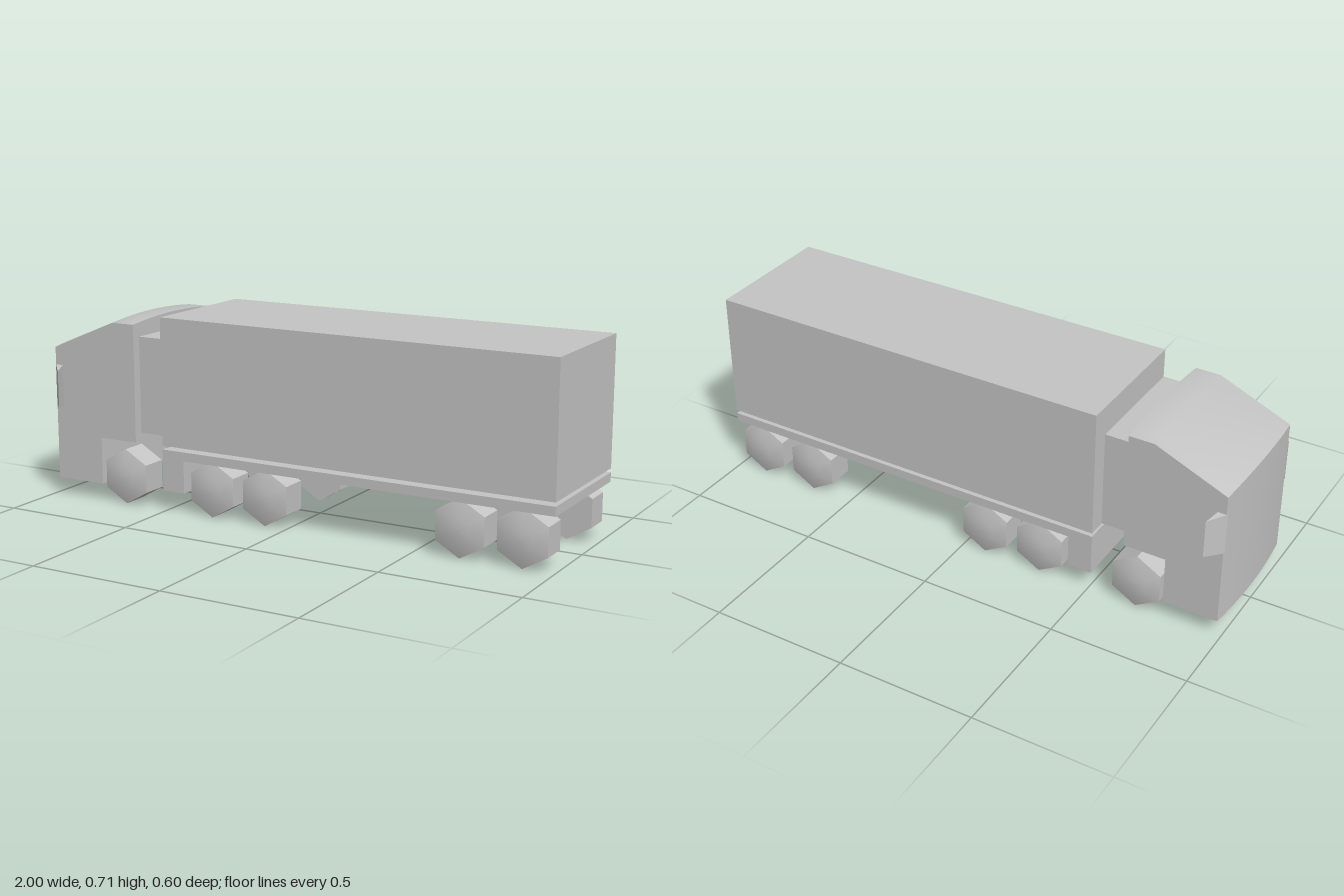
import * as THREE from 'three';
import { toCreasedNormals } from 'three/addons/utils/BufferGeometryUtils.js';

const grey = new THREE.MeshStandardMaterial({ color: 0xc4c4c4 });
grey.name = 'light grey';

function addMesh(parent, name, geometry) {
  const mesh = new THREE.Mesh(geometry, grey);
  mesh.name = name;
  parent.add(mesh);
  return mesh;
}

// Box given by its x range, y range and half width in z
function addBox(parent, name, x0, x1, y0, y1, halfZ) {
  const geometry = new THREE.BoxGeometry(x1 - x0, y1 - y0, halfZ * 2);
  geometry.translate((x0 + x1) / 2, (y0 + y1) / 2, 0);
  return addMesh(parent, name, geometry);
}

function shapeFrom(points) {
  return new THREE.Shape(points.map(([x, y]) => new THREE.Vector2(x, y)));
}

// Cab: side profile extruded across, with crowned roof and bowed front
function cabGeometry() {
  const half = 0.248;
  const profile = shapeFrom([
    [-1, 0.062], [-0.785, 0.062], [-0.785, 0.237], [-0.63, 0.237],
    [-0.63, 0.685], [-0.722, 0.685], [-1, 0.573],
  ]);
  const geometry = new THREE.ExtrudeGeometry(profile, { depth: half * 2, steps: 12, bevelEnabled: false });
  geometry.translate(0, 0, -half);
  const p = geometry.attributes.position;
  for (let i = 0; i < p.count; i++) {
    const bow = 0.015 * (p.getZ(i) / half) ** 2;
    if (p.getX(i) < -0.9) p.setX(i, p.getX(i) + bow);
    if (p.getY(i) > 0.5) p.setY(i, p.getY(i) - bow);
  }
  return toCreasedNormals(geometry, 0.5);
}

// Mirror: wedge standing out from the cab side, its top falling outwards
function mirrorGeometry() {
  const plan = shapeFrom([[-0.988, -0.245], [-0.955, -0.245], [-0.937, -0.299]]);
  const geometry = new THREE.ExtrudeGeometry(plan, { depth: 0.153, bevelEnabled: false });
  geometry.rotateX(-Math.PI / 2);
  geometry.translate(0, 0.34, 0);
  const p = geometry.attributes.position;
  for (let i = 0; i < p.count; i++) {
    if (p.getY(i) > 0.4 && p.getZ(i) > 0.27) p.setY(i, p.getY(i) - 0.014);
  }
  geometry.computeVertexNormals();
  return geometry;
}

// Wheel: six-sided tread with a shallow smooth dome on the outside
function createWheel(tread, dome) {
  const wheel = new THREE.Group();
  addMesh(wheel, 'tread', tread);
  addMesh(wheel, 'wheelFace', dome);
  return wheel;
}

export function createModel() {
  const model = new THREE.Group();
  model.name = 'truck';

  const cab = new THREE.Group();
  cab.name = 'cab';
  model.add(cab);
  addMesh(cab, 'cabBody', cabGeometry());
  addBox(cab, 'cabRearFairing', -0.63, -0.528, 0.267, 0.622, 0.213);
  const mirror = mirrorGeometry();
  addMesh(cab, 'leftMirror', mirror);
  addMesh(cab, 'rightMirror', mirror).scale.z = -1;

  const trailer = new THREE.Group();
  trailer.name = 'trailer';
  model.add(trailer);
  addBox(trailer, 'cargoBox', -0.512, 1, 0.24, 0.707, 0.248);
  addBox(trailer, 'trailerFloor', -0.512, 1, 0.193, 0.226, 0.248);
  addBox(trailer, 'underFloorBlock', -0.512, -0.422, 0.074, 0.193, 0.248);

  // Wheels in pairs along the truck
  const r = 0.1025;
  const tread = new THREE.CylinderGeometry(r, r, 0.1, 6).toNonIndexed();
  tread.computeVertexNormals();
  tread.rotateX(Math.PI / 2);
  const dome = new THREE.LatheGeometry(
    [[r, 0.05], [0.046, 0.066], [0, 0.067]].map(([a, b]) => new THREE.Vector2(a, b)), 6);
  dome.rotateX(Math.PI / 2);
  [-0.681, -0.305, -0.086, 0.665, 0.888].forEach((x, i) => {
    for (const side of [1, -1]) {
      const wheel = createWheel(tread, dome);
      wheel.name = (side > 0 ? 'nearWheel' : 'farWheel') + (i + 1);
      wheel.position.set(x, r, side * 0.192);
      if (side < 0) wheel.rotation.y = Math.PI;
      model.add(wheel);
    }
  });
  return model;
}
